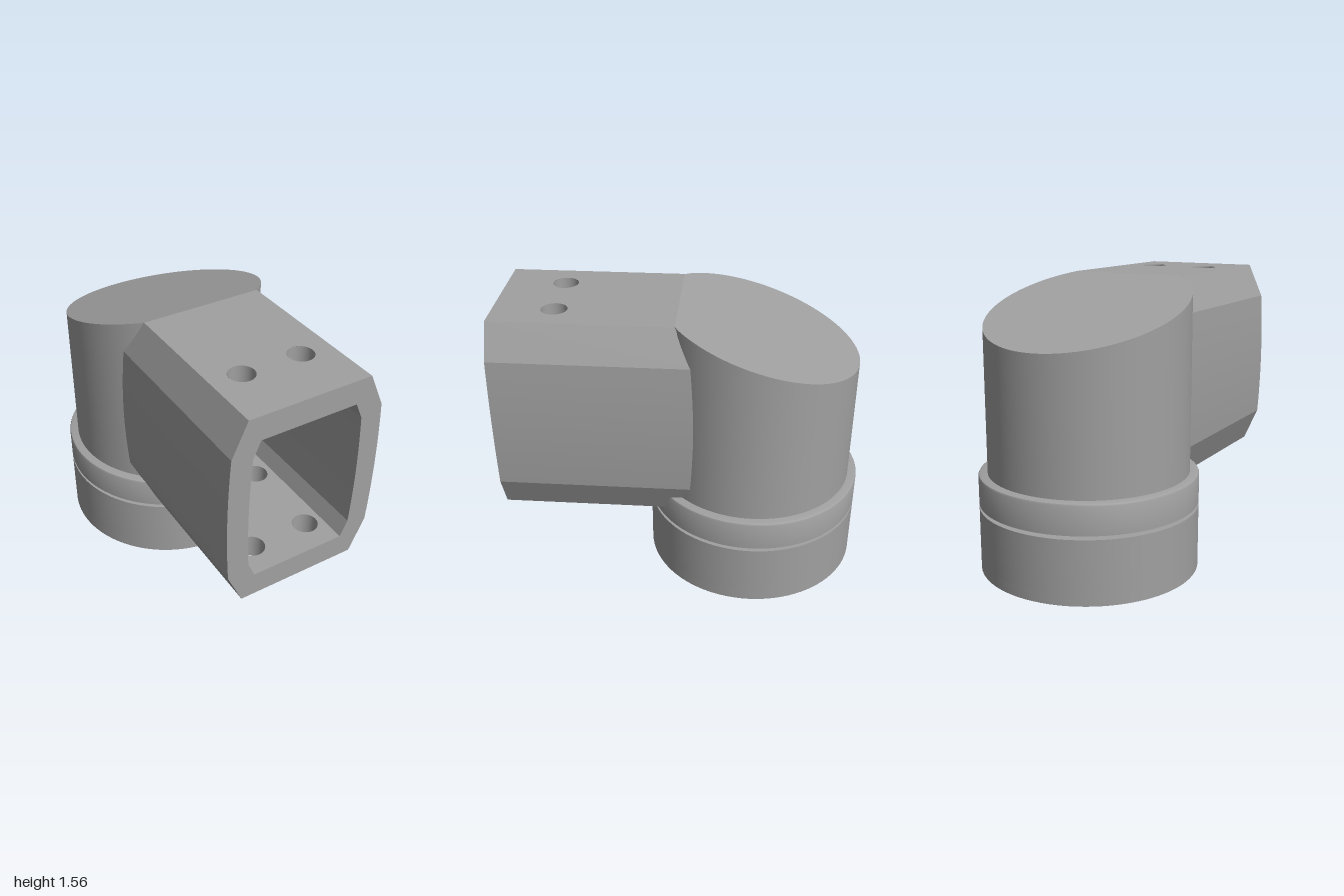
import * as THREE from 'three';
import { toCreasedNormals } from 'three/addons/utils/BufferGeometryUtils.js';

const AXIS_Z = -0.4;

export function createModel() {
  const group = new THREE.Group();
  const grey = new THREE.MeshStandardMaterial({ color: 0xa0a0a0, side: THREE.DoubleSide });
  const add = (name, geo, x = 0, y = 0, z = 0) => {
    const mesh = new THREE.Mesh(geo, grey);
    mesh.name = name;
    mesh.position.set(x, y, z);
    group.add(mesh);
    return mesh;
  };
  const circle = (x, y, r) => new THREE.Path().absarc(x, y, r, 0, Math.PI * 2, true);

  // ---- Base coupling: rim with four screw tabs, bored hub, closing disc
  const tabbedOpening = () => {
    const path = new THREE.Path();
    const half = 0.21;
    for (let i = 0; i < 4; i++) {
      const a = i * Math.PI / 2;
      path.absarc(0, 0, 0.455, a - half, a + half, false);
      path.absarc(0, 0, 0.52, a + half, a + Math.PI / 2 - half, false);
    }
    path.closePath();
    return path;
  };
  const ring = (name, opening, y, height) => {
    const shape = new THREE.Shape().absarc(0, 0, 0.6, 0, Math.PI * 2, false);
    shape.holes.push(opening);
    for (let i = 0; i < 4; i++) {
      const a = i * Math.PI / 2;
      shape.holes.push(circle(0.505 * Math.cos(a), 0.505 * Math.sin(a), 0.04));
    }
    const geo = new THREE.ExtrudeGeometry(shape, { depth: height, bevelEnabled: false, curveSegments: 48 });
    geo.rotateX(-Math.PI / 2);
    add(name, toCreasedNormals(geo, 0.5), 0, y, AXIS_Z);
  };
  ring('baseRim', tabbedOpening(), 0, 0.06);
  ring('baseHub', circle(0, 0, 0.305), 0.06, 0.27);
  add('baseTopDisc', new THREE.CylinderGeometry(0.6, 0.6, 0.02, 96), 0, 0.34, AXIS_Z);
  add('pivotPost', new THREE.CylinderGeometry(0.12, 0.12, 0.03, 48), 0, 0.36, AXIS_Z);

  // ---- Flange with a softened upper edge
  const flange = [[0, 0.37], [0.6, 0.37], [0.6, 0.522], [0.596, 0.531], [0.587, 0.535], [0.5, 0.535]]
    .map(([x, y]) => new THREE.Vector2(x, y));
  add('flange', toCreasedNormals(new THREE.LatheGeometry(flange, 96), 0.5), 0, 0, AXIS_Z);

  // ---- Upright body, cut by a sloping plane and flattened where the arm joins
  const slopeY = z => 1.56 + 0.314 * (z - 0.03);
  const joinArm = (geo, isTop) => {
    const p = geo.attributes.position;
    for (let i = 0; i < p.count; i++) {
      const z = Math.min(p.getZ(i) + AXIS_Z, 0.03);
      p.setZ(i, z);
      p.setY(i, isTop(p.getY(i)) ? slopeY(z) : 0.52);
    }
    return geo;
  };
  add('bodyWall', joinArm(new THREE.CylinderGeometry(0.55, 0.55, 1, 96, 1, true), y => y > 0));
  const cap = joinArm(new THREE.CircleGeometry(0.55, 96).rotateX(-Math.PI / 2), () => true);
  cap.computeVertexNormals();
  add('bodySlopedTop', cap);

  // ---- Hollow arm: right-hand half profiles run from top to bottom
  const halfProfile = (xTop, xSide, xMid, yTop, yShoulder) => {
    const points = [[xTop, yTop]];
    const mid = 0.995, reach = yShoulder - mid;
    for (let i = 0; i <= 12; i++) {
      const t = 1 - i / 6;
      points.push([xMid - (xMid - xSide) * t * t, mid + reach * t]);
    }
    points.push([xTop, 2 * mid - yTop]);
    return points;
  };
  const mirrored = pts => pts.map(([x, y]) => [-x, y]).reverse();
  const outer = halfProfile(0.343, 0.428, 0.441, 1.56, 1.37);
  const inner = halfProfile(0.27, 0.31, 0.321, 1.423, 1.33);

  const ribbon = (name, pts, backZ) => {
    const pos = [];
    for (let i = 0; i + 1 < pts.length; i++) {
      const [p, q] = [pts[i], pts[i + 1]];
      const a = [...p, 1], b = [...q, 1], c = [...q, backZ(q[1])], d = [...p, backZ(p[1])];
      pos.push(...a, ...b, ...c, ...a, ...c, ...d);
    }
    const geo = new THREE.BufferGeometry();
    geo.setAttribute('position', new THREE.Float32BufferAttribute(pos, 3));
    add(name, toCreasedNormals(geo, 0.2));
  };
  const outerBack = y => (y > 1.5 ? 0.03 : -0.1);
  const cavityBack = () => 0.15;
  ribbon('armLeftSide', outer, outerBack);
  ribbon('armRightSide', mirrored(outer), outerBack);
  ribbon('cavityLeftSide', [...inner].reverse(), cavityBack);
  ribbon('cavityRightSide', mirrored(inner).reverse(), cavityBack);

  // Front edge of the arm and the end wall of its cavity
  const outline = half => [...half, ...mirrored(half)].map(([x, y]) => new THREE.Vector2(x, y));
  const frontShape = new THREE.Shape(outline(outer));
  frontShape.holes.push(new THREE.Path(outline(inner)));
  add('armFrontEdge', new THREE.ShapeGeometry(frontShape), 0, 0, 1);
  add('cavityEndWall', new THREE.ShapeGeometry(new THREE.Shape(outline(inner))), 0, 0, 0.15);

  // Flat top and bottom panels, pierced by bolt holes
  const HOLE = 0.07;
  const panel = (name, halfW, y, backZ, rows, up) => {
    const s = up ? -1 : 1;
    const shape = new THREE.Shape([[-halfW, backZ], [halfW, backZ], [halfW, 1], [-halfW, 1]]
      .map(([x, z]) => new THREE.Vector2(x, s * z)));
    for (const z of rows) for (const x of [-0.17, 0.17]) shape.holes.push(circle(x, s * z, HOLE));
    const geo = new THREE.ShapeGeometry(shape, 32);
    geo.rotateX(s * Math.PI / 2);
    add(name, geo, 0, y);
  };
  const topRows = [0.675], bottomRows = [0.825, 0.345];
  panel('armTop', 0.343, 1.56, 0.03, topRows, true);
  panel('cavityCeiling', 0.27, 1.423, 0.15, topRows, false);
  panel('cavityFloor', 0.27, 0.567, 0.15, bottomRows, true);
  panel('armBottom', 0.343, 0.43, -0.1, bottomRows, false);

  const holeWalls = (rows, y) => {
    for (const z of rows) for (const x of [-0.17, 0.17])
      add('boltHole', new THREE.CylinderGeometry(HOLE, HOLE, 0.137, 32, 1, true), x, y, z);
  };
  holeWalls(topRows, 1.4915);
  holeWalls(bottomRows, 0.4985);

  return group;
}
